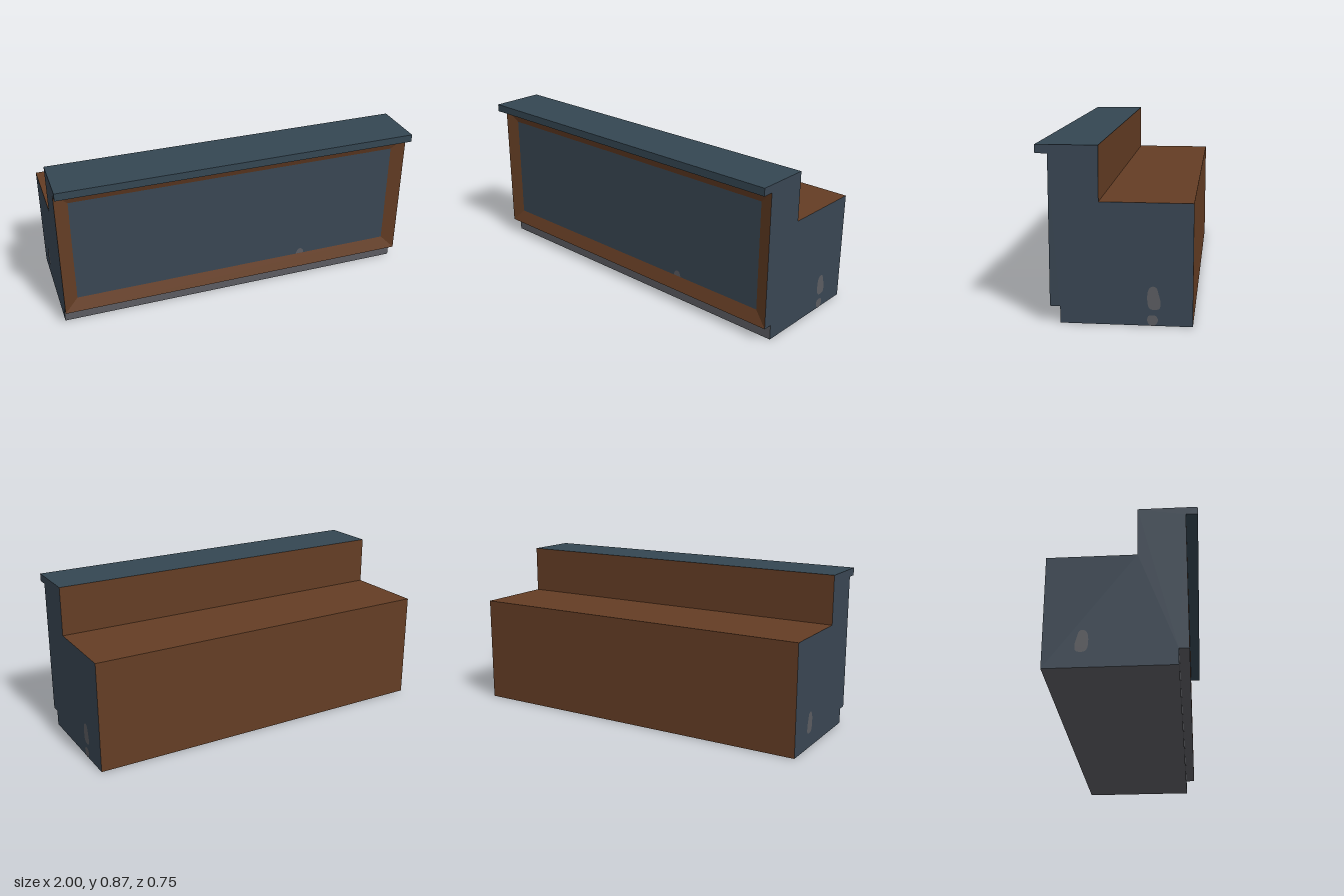
import * as THREE from 'three';

const paint = (name, color) => {
  const m = new THREE.MeshStandardMaterial({ color });
  m.name = name;
  return m;
};

export function createModel() {
  const group = new THREE.Group();
  const blue = paint('slate blue', 0x394653);
  const capBlue = paint('countertop blue', 0x344652);
  const brown = paint('brown wood', 0x643d24);
  const grey = paint('grey', 0x5b5c61);

  const add = (name, geometry, material) => {
    const mesh = new THREE.Mesh(geometry, material);
    mesh.name = name;
    group.add(mesh);
    return mesh;
  };

  // Four-cornered face, corners counter-clockwise seen from outside
  const quad = (name, a, b, c, d, material) => {
    const g = new THREE.BufferGeometry();
    g.setAttribute('position', new THREE.Float32BufferAttribute([a, b, c, d].flat(), 3));
    g.setIndex([0, 1, 2, 0, 2, 3]);
    g.computeVertexNormals();
    return add(name, g, material);
  };

  // Counter section: [z, y, name and material of the face running to the next point]
  const section = [
    [-0.375, 0, 'underside', grey],
    [0.265, 0, 'kickBoard', grey],
    [0.265, 0.083, 'kickLip', grey],
    [0.315, 0.083, null, null], // the recessed front goes here
    [0.315, 0.825, 'countertopUnderside', capBlue],
    [0.375, 0.825, 'countertopEdge', capBlue],
    [0.375, 0.867, 'countertop', capBlue],
    [0.075, 0.867, 'backRiser', brown],
    [0.075, 0.6, 'workSurface', brown],
    [-0.375, 0.6, 'back', brown],
  ];
  section.forEach(([z, y, name, material], i) => {
    if (!name) return;
    const [z2, y2] = section[(i + 1) % section.length];
    quad(name, [-1, y, z], [1, y, z], [1, y2, z2], [-1, y2, z2], material);
  });

  // Flat outline of [z, y] points placed on the left (+1) or right (-1) end
  const endPlate = (name, points, side, offset, material) => {
    const shape = new THREE.Shape(points.map(([z, y]) => new THREE.Vector2(-side * z, y)));
    const g = new THREE.ShapeGeometry(shape);
    g.rotateY(side * Math.PI / 2);
    g.translate(side * (1 + offset), 0, 0);
    add(name, g, material);
  };
  const smooth = (points) => new THREE.CatmullRomCurve3(
    points.map(([z, y]) => new THREE.Vector3(z, y, 0)), true).getPoints(32).map((p) => [p.x, p.y]);

  // Sole and heel marks
  const sole = smooth([[-0.168, 0.085], [-0.214, 0.085], [-0.22, 0.115], [-0.21, 0.16],
    [-0.2, 0.188], [-0.184, 0.195], [-0.166, 0.185], [-0.156, 0.145]]);
  const heel = smooth([[-0.17, 0.002], [-0.193, 0.002], [-0.208, 0.028], [-0.199, 0.049],
    [-0.182, 0.052], [-0.162, 0.048], [-0.156, 0.027]]);
  for (const side of [1, -1]) {
    endPlate('endPanel', section, side, 0, blue);
    endPlate('soleMark', sole, side, 0.001, grey);
  }
  endPlate('heelMark', heel, 1, 0.001, grey);

  // Bevelled frame around the recessed front panel
  const outer = [[-1, 0.083, 0.315], [1, 0.083, 0.315], [1, 0.825, 0.315], [-1, 0.825, 0.315]];
  const inner = [[-0.925, 0.157, 0.29], [0.925, 0.157, 0.29], [0.925, 0.753, 0.29], [-0.925, 0.753, 0.29]];
  for (let i = 0; i < 4; i++) {
    const j = (i + 1) % 4;
    quad('frameBevel', outer[i], outer[j], inner[j], inner[i], brown);
  }
  quad('frontPanel', ...inner, blue);

  // Toe mark at the foot of the front panel
  const toe = add('toeMark', new THREE.CircleGeometry(0.023, 20, 0, Math.PI), grey);
  toe.scale.y = 1.4;
  toe.position.set(0.39, 0.158, 0.291);

  return group;
}
